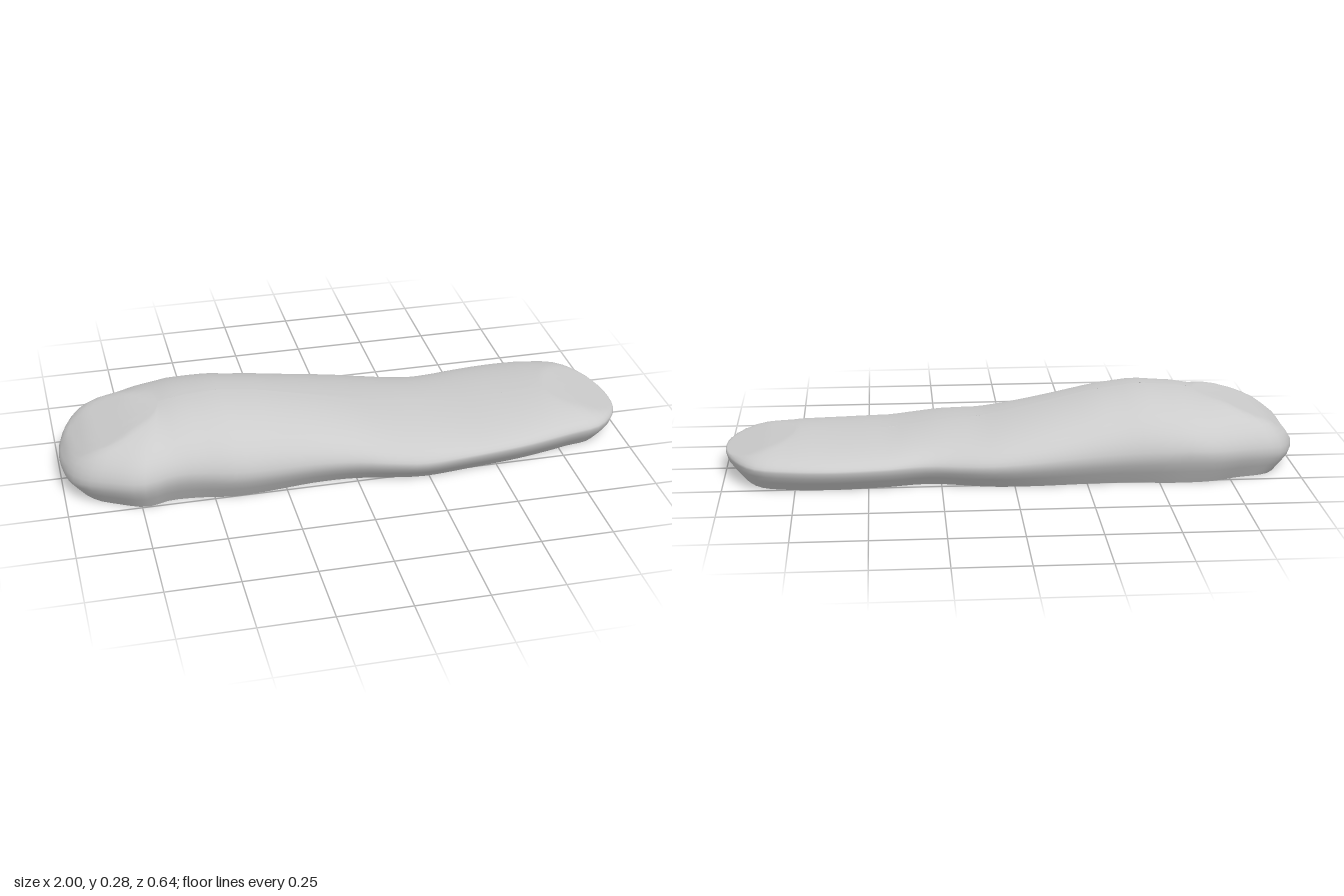
import * as THREE from 'three';

// Plan outline at the widest level: [x, z], left end -> back -> right end -> front
const OUTLINE = [
  [-1, 0], [-0.99, -0.1], [-0.93, -0.22], [-0.8, -0.27], [-0.69, -0.31], [-0.57, -0.32], [-0.35, -0.305],
  [-0.05, -0.32], [0.08, -0.315], [0.29, -0.27], [0.45, -0.295], [0.62, -0.31], [0.76, -0.3], [0.89, -0.26],
  [0.97, -0.14], [1, 0], [0.98, 0.12], [0.9, 0.21], [0.78, 0.24], [0.6, 0.28], [0.4, 0.305], [0.23, 0.32],
  [0.1, 0.3], [0, 0.28], [-0.13, 0.275], [-0.42, 0.3], [-0.55, 0.28], [-0.65, 0.275], [-0.75, 0.295],
  [-0.87, 0.24], [-0.93, 0.2], [-0.98, 0.13],
];
// Height of the crest along the length: [x, y]
const CREST = [
  [-1, 0.08], [-0.97, 0.13], [-0.9, 0.18], [-0.75, 0.24], [-0.6, 0.275], [-0.45, 0.285], [-0.3, 0.265],
  [-0.1, 0.22], [0.1, 0.175], [0.25, 0.165], [0.42, 0.14], [0.6, 0.14], [0.74, 0.145], [0.85, 0.125], [1, 0.08],
];
// Height of the widest level along the length
const RIM = [[-1, 0.07], [-0.9, 0.09], [-0.6, 0.11], [-0.2, 0.09], [0.2, 0.07], [1, 0.075]];

// Smoothly eased lookup in a table of [x, y]
function lookup(table, x) {
  let i = 1;
  while (i < table.length - 1 && x > table[i][0]) i++;
  const [x0, y0] = table[i - 1], [x1, y1] = table[i];
  return THREE.MathUtils.lerp(y0, y1, THREE.MathUtils.clamp((x - x0) / (x1 - x0), 0, 1));
}

// Rounded shell made of nested rings, from the tucked-in base up to the central crest
function shellGeometry() {
  const around = 120, domeSteps = 14;
  const curve = new THREE.CatmullRomCurve3(OUTLINE.map(([x, z]) => new THREE.Vector3(x, 0, z)), true);
  const outline = curve.getSpacedPoints(around).slice(0, around);

  // Each ring: inset from the outline, and height either below the rim or on the dome
  const rings = [{ inset: 0.05, low: 0 }, { inset: 0.022, low: 0.45 }, { inset: 0.006, low: 0.75 }];
  for (let i = 0; i <= domeSteps; i++) rings.push({ angle: (i / domeSteps) * Math.PI / 2 });

  const positions = [], index = [];
  rings.forEach(({ inset, low, angle }, r) => {
    outline.forEach((p, j) => {
      const spineX = THREE.MathUtils.clamp(p.x, -0.65, 0.75);
      const dx = p.x - spineX, dz = p.z, rim = lookup(RIM, p.x);
      const f = inset !== undefined ? 1 - inset / Math.hypot(dx, dz) : Math.cos(angle);
      const x = spineX + dx * f;
      const y = inset !== undefined
        ? rim * low
        : Math.min(rim + (lookup(CREST, spineX) - rim) * Math.sin(angle), lookup(CREST, x));
      positions.push(x, y, dz * f);
      if (r < rings.length - 1) {
        const a = r * around + j, b = r * around + (j + 1) % around;
        index.push(a, a + around, b, b, a + around, b + around);
      }
    });
  });

  const geometry = new THREE.BufferGeometry();
  geometry.setAttribute('position', new THREE.Float32BufferAttribute(positions, 3));
  geometry.setIndex(index);
  geometry.computeVertexNormals();
  return geometry;
}

export function createModel() {
  const group = new THREE.Group();
  group.name = 'moundModel';
  // The shell is open underneath
  const shell = new THREE.Mesh(
    shellGeometry(),
    new THREE.MeshStandardMaterial({ color: 0xcccccc, side: THREE.DoubleSide }),
  );
  shell.name = 'moundShell';
  group.add(shell);
  return group;
}
